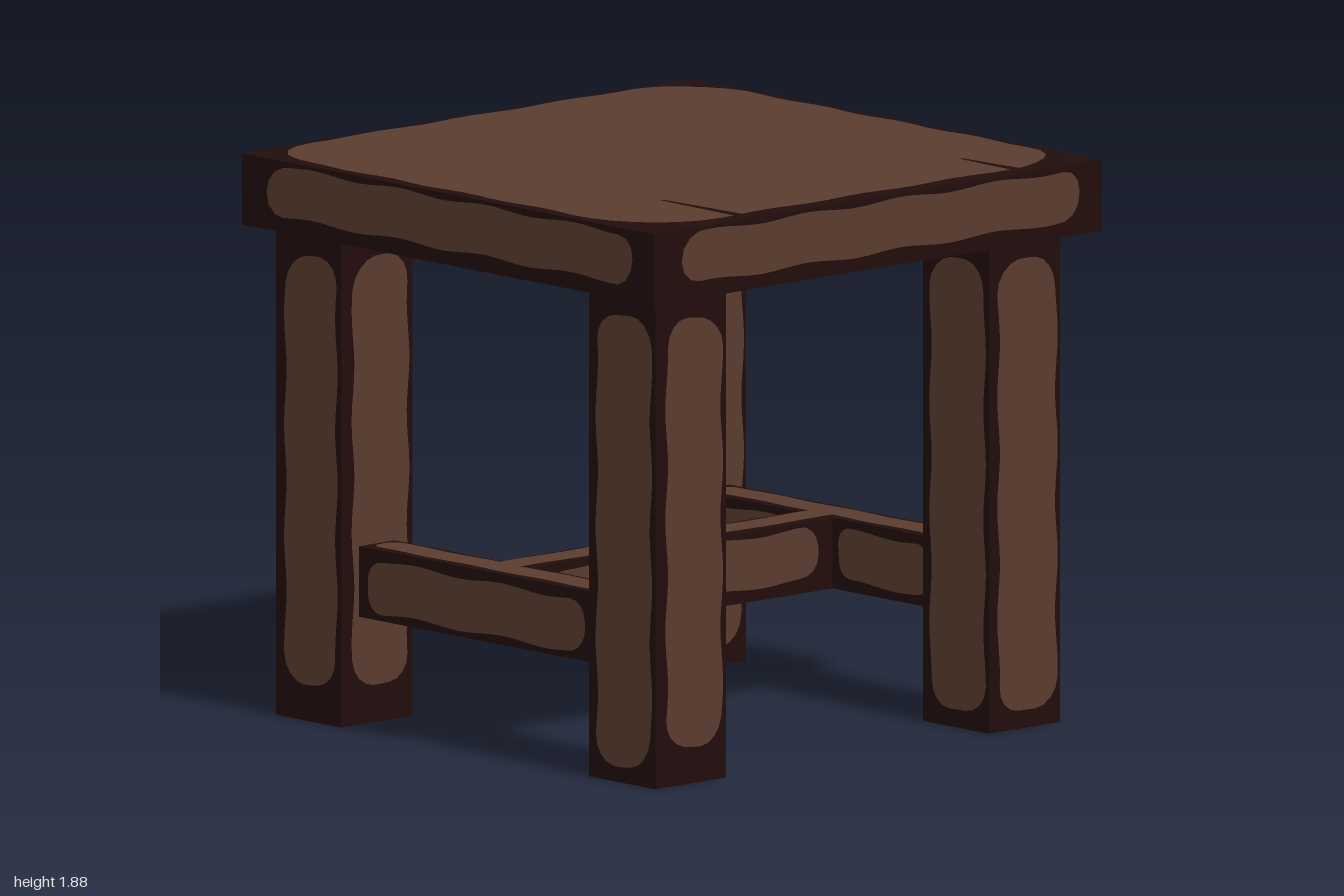
import * as THREE from 'three';

const edgeWood = new THREE.MeshStandardMaterial({ color: 0x210d0c });
edgeWood.name = 'dark worn edge';
const faceWood = new THREE.MeshStandardMaterial({ color: 0x5a3c2e });
faceWood.name = 'brown wood';

const LIFT = 0.003; // height of painted faces above the timber

// Timber block from its extents
function block(name, [x0, x1], [y0, y1], [z0, z1]) {
  const mesh = new THREE.Mesh(new THREE.BoxGeometry(x1 - x0, y1 - y0, z1 - z0), edgeWood);
  mesh.position.set((x0 + x1) / 2, (y0 + y1) / 2, (z0 + z1) / 2);
  mesh.name = name;
  return mesh;
}

// Hand-painted patch: a rounded rectangle with a slightly uneven outline
function patchGeometry([u0, u1], [v0, v1], r, seed, wobble) {
  r = Math.min(r, (u1 - u0) * 0.49, (v1 - v0) * 0.49);
  const s = new THREE.Shape();
  s.absarc(u1 - r, v1 - r, r, 0, Math.PI / 2);
  s.absarc(u0 + r, v1 - r, r, Math.PI / 2, Math.PI);
  s.absarc(u0 + r, v0 + r, r, Math.PI, Math.PI * 1.5);
  s.absarc(u1 - r, v0 + r, r, Math.PI * 1.5, Math.PI * 2);
  s.closePath();
  const pts = s.getSpacedPoints(90).slice(0, -1);
  pts.forEach((p) => {
    const { x, y } = p;
    p.x += wobble * Math.sin(y * 17 + seed * 2.3);
    p.y += wobble * Math.sin(x * 15 + seed * 1.7);
  });
  return new THREE.ShapeGeometry(new THREE.Shape(pts));
}

// Patch on an upright face; quarter 0 = front, 1 = +x, 2 = back, 3 = -x
function sidePatch(quarter, u, v, depth, r, seed) {
  const g = patchGeometry(u, v, r, seed, 0.006);
  g.translate(0, 0, depth + LIFT).rotateY((quarter * Math.PI) / 2);
  const mesh = new THREE.Mesh(g, faceWood);
  mesh.name = 'sidePatch';
  return mesh;
}

// Patch on a level face, facing up (dir 1) or down (dir -1)
function levelPatch(dir, x, [z0, z1], y, r, seed, wobble = 0.004, material = faceWood) {
  const g = patchGeometry(x, dir > 0 ? [-z1, -z0] : [z0, z1], r, seed, wobble);
  g.translate(0, 0, dir * y + LIFT).rotateX((-dir * Math.PI) / 2);
  const mesh = new THREE.Mesh(g, material);
  mesh.name = dir > 0 ? 'topPatch' : 'undersidePatch';
  return mesh;
}

function named(name) {
  const g = new THREE.Group();
  g.name = name;
  return g;
}

export function createModel() {
  const model = named('stool');
  const legX = [[-0.925, -0.61], [0.56, 0.875]];
  const legZ = [[-0.91, -0.593], [0.605, 0.925]];
  const SLAB = 0.997;

  // Seat slab with a patch on each face
  const seat = named('seat');
  seat.add(block('seatSlab', [-SLAB, SLAB], [1.63, 1.867], [-SLAB, SLAB]));
  for (let k = 0; k < 4; k++) seat.add(sidePatch(k, [-0.87, 0.9], [1.682, 1.85], SLAB, 0.08, k));
  seat.add(levelPatch(1, [-0.96, 0.965], [-0.975, 0.93], 1.867, 0.28, 1, 0.008));
  seat.add(levelPatch(-1, [-0.95, 0.95], [-0.95, 0.95], 1.63, 0.12, 2));

  // Cracks running in from the front edge of the seat
  for (const [x, z] of [[-0.58, 0.58], [0.65, 0.69]]) {
    const crack = new THREE.Shape();
    crack.moveTo(x - 0.006, -z);
    crack.lineTo(x - 0.016, -0.96);
    crack.lineTo(x + 0.026, -0.96);
    crack.lineTo(x + 0.008, -z);
    const g = new THREE.ShapeGeometry(crack);
    g.rotateX(-Math.PI / 2).translate(0, 1.867 + LIFT * 2, 0);
    const mesh = new THREE.Mesh(g, edgeWood);
    mesh.name = 'crack';
    seat.add(mesh);
  }
  model.add(seat);

  // Four legs
  legX.forEach((x, i) => legZ.forEach((z, j) => {
    const leg = named((j ? 'front' : 'back') + (i ? 'Left' : 'Right') + 'Leg');
    leg.add(block('legPost', x, [0, 1.635], z));
    const spans = [x, [-z[1], -z[0]], [-x[1], -x[0]], z];
    const depths = [z[1], x[1], -z[0], -x[0]];
    spans.forEach(([a, b], k) => {
      const span = a < 0 ? [a + 0.048, b - 0.022] : [a + 0.04, b - 0.018];
      const height = a < 0 ? [0.12, 1.55] : [0.055, 1.56];
      leg.add(sidePatch(k, span, height, depths[k], 0.1, k + i + j));
    });
    const inset = ([a, b], m) => [a + m, b - m];
    leg.add(levelPatch(-1, inset(x, 0.05), inset(z, 0.05), 0, 0.08, i + j));
    // Dark joint where the leg meets the seat
    leg.add(levelPatch(-1, inset(x, -0.05), inset(z, -0.05), 1.627, 0.06, i, 0.004, edgeWood));
    model.add(leg);
  }));

  // H-shaped stretcher: two side rails and a cross bar
  const low = 0.36, high = 0.595;
  const stretcher = named('stretcher');
  const rails = [[-0.85, -0.69], [0.64, 0.8]];
  rails.forEach(([a, b], i) => {
    stretcher.add(block(i ? 'leftRail' : 'rightRail', [a, b], [low, high], [-0.62, 0.62]));
    // outer face, then the inner face on both sides of the cross bar
    const outer = i ? 1 : 3, inner = i ? 3 : 1;
    stretcher.add(sidePatch(outer, [-0.55, 0.5], [0.385, 0.56], i ? b : -a, 0.07, i));
    for (const u of [[-0.55, -0.11], [0.11, 0.55]])
      stretcher.add(sidePatch(inner, u, [0.395, 0.565], i ? -a : b, 0.06, i + 2));
    for (const dir of [1, -1])
      stretcher.add(levelPatch(dir, [a + 0.025, b - 0.025], [-0.56, 0.56], dir > 0 ? high : low, 0.04, i));
  });
  stretcher.add(block('crossBar', [-0.7, 0.65], [low, high], [-0.08, 0.08]));
  for (const k of [0, 2]) {
    const u = k ? [-0.57, 0.62] : [-0.62, 0.57];
    stretcher.add(sidePatch(k, u, [0.405, 0.575], 0.08, 0.07, k));
  }
  for (const dir of [1, -1])
    stretcher.add(levelPatch(dir, [-0.73, 0.68], [-0.055, 0.055], (dir > 0 ? high : low) + dir * 0.001, 0.02, 3));
  model.add(stretcher);

  return model;
}
